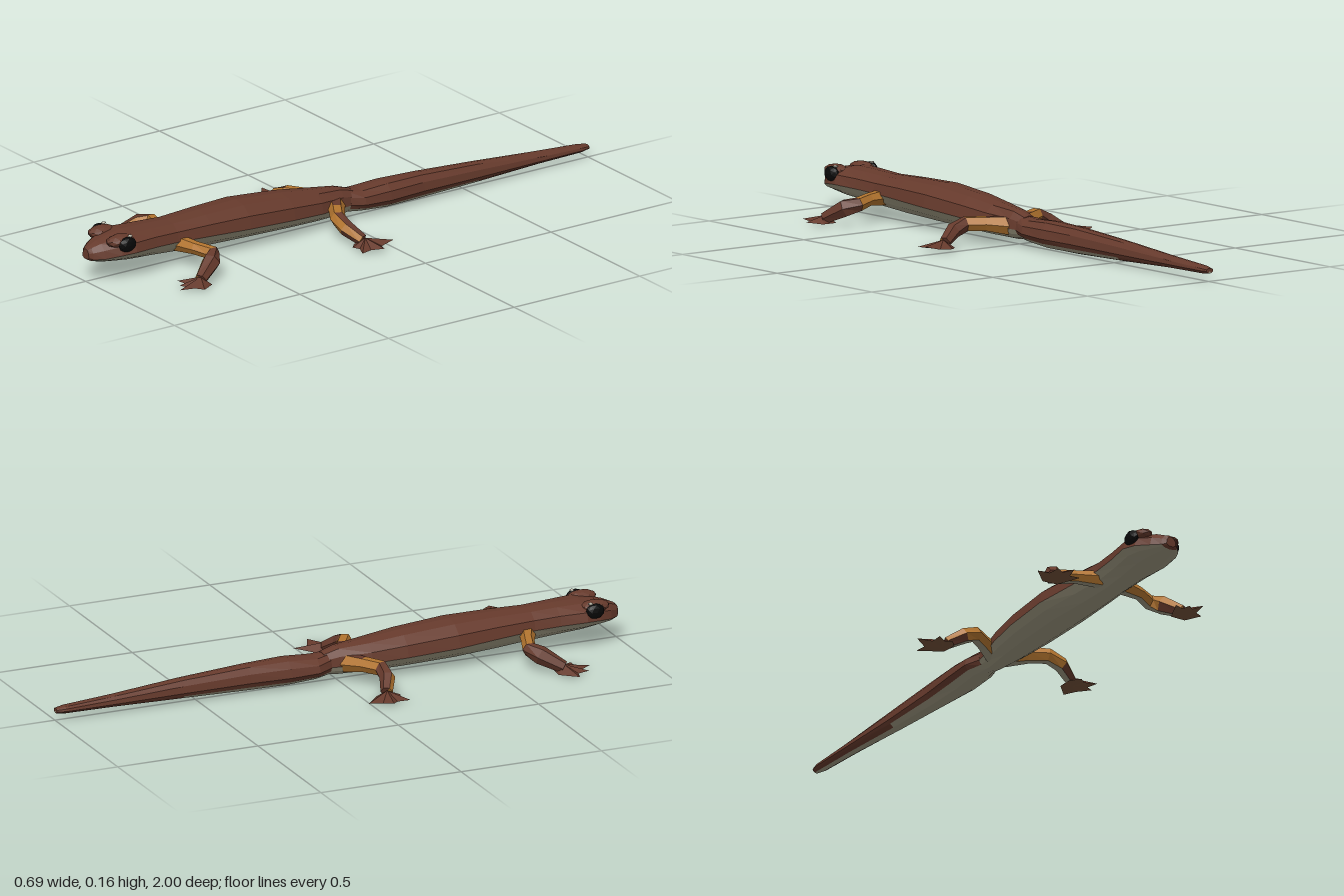
import * as THREE from 'three';

const V = (x, y, z) => new THREE.Vector3(x, y, z);
const flat = (name, color) => {
  const m = new THREE.MeshStandardMaterial({ color, flatShading: true });
  m.name = name;
  return m;
};

export function createModel() {
  const brown = flat('back brown', 0x663a2c);
  const belly = flat('belly grey', 0x9c967f);
  const amber = flat('limb amber', 0xb3752f);
  const sole = flat('sole brown', 0x745239);
  const black = flat('eye black', 0x080808);
  const pale = flat('eye glint', 0xc9c4b4);
  const skins = [brown, belly, amber, sole];

  const root = new THREE.Group();
  root.name = 'salamander';

  // Joins triangle lists, one per skin colour, into a mesh with groups
  function skinMesh(name, lists) {
    const geo = new THREE.BufferGeometry();
    const all = [];
    lists.forEach((list, m) => {
      if (list.length) geo.addGroup(all.length, list.length, m);
      all.push(...list);
    });
    geo.setFromPoints(all);
    geo.computeVertexNormals();
    const mesh = new THREE.Mesh(geo, skins);
    mesh.name = name;
    return mesh;
  }

  // Skins a row of rings; pick(i, j) gives the colour index of each face
  function loft(name, rings, pick) {
    const lists = skins.map(() => []);
    const n = rings[0].length;
    const middle = r => r.reduce((s, p) => s.add(p), V(0, 0, 0)).divideScalar(n);
    const last = rings.length - 1;
    const c0 = middle(rings[0]), c1 = middle(rings[last]);
    for (let j = 0; j < n; j++) {
      const k = (j + 1) % n;
      for (let i = 0; i < last; i++) {
        const a = rings[i], b = rings[i + 1];
        lists[pick(i, j)].push(a[j], a[k], b[k], a[j], b[k], b[j]);
      }
      lists[pick(0, j)].push(c0, rings[0][k], rings[0][j]);
      lists[pick(last - 1, j)].push(c1, rings[last][j], rings[last][k]);
    }
    return skinMesh(name, lists);
  }

  // Cross-section of trunk and tail, counter-clockwise from the left flank
  const section = [
    [1, 0], [0.9, 0.55], [0.52, 0.92], [0, 1], [-0.52, 0.92], [-0.9, 0.55],
    [-1, 0], [-0.8, -0.45], [-0.42, -0.85], [0, -1], [0.42, -0.85], [0.8, -0.45],
  ];
  // z, centre x, half width, bottom y, flank y, top y
  const ring = ([z, cx, w, lo, mid, hi]) => section.map(([u, v]) =>
    V(cx + u * w, mid + v * (v > 0 ? hi - mid : mid - lo), z));

  const tailRows = [
    [-1, -0.005, 0.014, 0.028, 0.036, 0.045],
    [-0.97, -0.005, 0.022, 0.024, 0.036, 0.05],
    [-0.8, -0.004, 0.026, 0.022, 0.037, 0.062],
    [-0.55, 0, 0.034, 0.014, 0.04, 0.083],
    [-0.32, 0, 0.044, 0.008, 0.044, 0.097],
    [-0.18, 0, 0.057, 0.008, 0.046, 0.1],
    [-0.08, -0.003, 0.058, 0.016, 0.05, 0.094],
    [-0.03, 0, 0.04, 0.022, 0.055, 0.1],
  ];
  const bodyRows = [
    [-0.05, 0, 0.036, 0.024, 0.055, 0.1],
    [0.0, 0, 0.045, 0.018, 0.056, 0.116],
    [0.1, -0.003, 0.07, 0.018, 0.062, 0.126],
    [0.22, -0.006, 0.085, 0.02, 0.07, 0.141],
    [0.4, -0.008, 0.093, 0.025, 0.08, 0.155],
    [0.55, -0.003, 0.083, 0.03, 0.087, 0.154],
    [0.68, 0, 0.074, 0.038, 0.092, 0.15],
    [0.77, 0, 0.08, 0.046, 0.096, 0.154],
    [0.86, 0, 0.093, 0.054, 0.1, 0.156],
    [0.91, 0, 0.082, 0.06, 0.096, 0.148],
    [0.96, 0, 0.056, 0.066, 0.087, 0.136],
    [0.99, 0, 0.032, 0.074, 0.084, 0.123],
    [1, 0, 0.018, 0.08, 0.087, 0.114],
  ];
  // The grey underside narrows towards the tail tip
  root.add(loft('tail', tailRows.map(ring), (i, j) =>
    ((i < 3 ? j === 8 || j === 9 : j > 6 && j < 11) ? 1 : 0)));
  root.add(loft('bodyAndHead', bodyRows.map(ring), (i, j) =>
    (j > 5 && i < bodyRows.length - 2 ? 1 : 0)));

  // Brows and eyes
  for (const s of [-1, 1]) {
    const ball = (name, mat, p, size) => {
      const m = new THREE.Mesh(new THREE.IcosahedronGeometry(1, 1), mat);
      m.position.set(s * p[0], p[1], p[2]);
      m.scale.set(...size);
      m.name = name;
      root.add(m);
    };
    ball('eye', black, [0.08, 0.131, 0.89], [0.018, 0.026, 0.033]);
    ball('brow', brown, [0.052, 0.139, 0.9], [0.033, 0.021, 0.052]);
    ball('eyeGlint', pale, [0.075, 0.156, 0.876], [0.008, 0.004, 0.008]);
  }

  // Six-sided limb along joints [x, y, z, radius]
  function limb(name, joints, hind) {
    const pts = joints.map(([x, y, z]) => V(x, y, z));
    const up = V(0, 1, 0);
    const rings = pts.map((p, i) => {
      const d = pts[Math.min(i + 1, pts.length - 1)].clone()
        .sub(pts[Math.max(i - 1, 0)]).normalize();
      const side = up.clone().cross(d).normalize();
      const rise = d.clone().cross(side);
      return Array.from({ length: 6 }, (_, k) => {
        const a = k * Math.PI / 3;
        return p.clone().addScaledVector(side, Math.cos(a) * joints[i][3])
          .addScaledVector(rise, Math.sin(a) * joints[i][3]);
      });
    });
    // Faces on the leading side, above and below its edge
    const [front, under] = pts[0].x > 0 ? [2, 3] : [0, 5];
    return loft(name, rings, (i, j) => {
      if (j === 4) return 1;
      if (i < 2) return hind && i === 0 && j === 1 ? 0 : 2;
      return j === front || (i === 2 && j === under) ? 2 : 0;
    });
  }

  // Webbed foot: star outline around the ankle, raised to a low peak
  function foot(name, ankle, toes) {
    const c = V(ankle[0], 0.004, ankle[1]);
    const tips = toes.map(([x, z, y = 0.01]) => V(x, y, z));
    const outline = [...tips];
    for (let i = 0; i + 1 < tips.length; i++) {
      const web = tips[i].clone().lerp(tips[i + 1], 0.5).lerp(c, 0.3);
      web.y = 0.008;
      outline.push(web);
    }
    const mean = tips.reduce((s, p) => s.add(p), V(0, 0, 0)).divideScalar(tips.length);
    const back = c.clone().sub(mean).setY(0).normalize().multiplyScalar(0.027);
    for (const s of [-1, 1])
      outline.push(V(c.x + back.x - s * back.z, 0.007, c.z + back.z + s * back.x));
    const angle = p => Math.atan2(c.z - p.z, p.x - c.x);
    outline.sort((a, b) => angle(a) - angle(b));
    const peak = V(c.x, 0.032, c.z), base = V(c.x, 0.002, c.z);
    const lists = skins.map(() => []);
    outline.forEach((p, i) => {
      const q = outline[(i + 1) % outline.length];
      lists[0].push(peak, p, q);
      lists[3].push(base, q, p);
    });
    return skinMesh(name, lists);
  }

  const legs = [
    ['leftFront', false,
      [[0.04, 0.078, 0.665, 0.029], [0.12, 0.079, 0.647, 0.022], [0.18, 0.073, 0.62, 0.024],
        [0.212, 0.06, 0.65, 0.031], [0.245, 0.022, 0.715, 0.021]],
      [0.245, 0.715], [[0.185, 0.765], [0.225, 0.785], [0.262, 0.81], [0.303, 0.74]]],
    ['rightFront', false,
      [[-0.04, 0.078, 0.665, 0.029], [-0.12, 0.079, 0.632, 0.022], [-0.18, 0.073, 0.61, 0.024],
        [-0.215, 0.06, 0.635, 0.031], [-0.256, 0.022, 0.7, 0.021]],
      [-0.256, 0.7], [[-0.19, 0.755], [-0.242, 0.797], [-0.29, 0.775], [-0.335, 0.722]]],
    ['leftHind', true,
      [[0.025, 0.063, 0.025, 0.034], [0.09, 0.07, 0.063, 0.026], [0.145, 0.07, 0.098, 0.026],
        [0.195, 0.052, 0.1, 0.026], [0.25, 0.022, 0.075, 0.02]],
      [0.26, 0.07], [[0.29, -0.02, 0.015], [0.348, 0.055, 0.018], [0.322, 0.125, 0.008], [0.262, 0.122]]],
    ['rightHind', true,
      [[-0.025, 0.063, 0.025, 0.034], [-0.09, 0.07, 0.063, 0.026], [-0.145, 0.07, 0.098, 0.026],
        [-0.19, 0.052, 0.1, 0.026], [-0.24, 0.022, 0.075, 0.02]],
      [-0.255, 0.07], [[-0.3, -0.015, 0.013], [-0.345, 0.055, 0.018], [-0.308, 0.13, 0.008], [-0.25, 0.12]]],
  ];
  for (const [name, hind, joints, ankle, toes] of legs) {
    root.add(limb(name + 'Leg', joints, hind));
    root.add(foot(name + 'Foot', ankle, toes));
  }
  return root;
}
